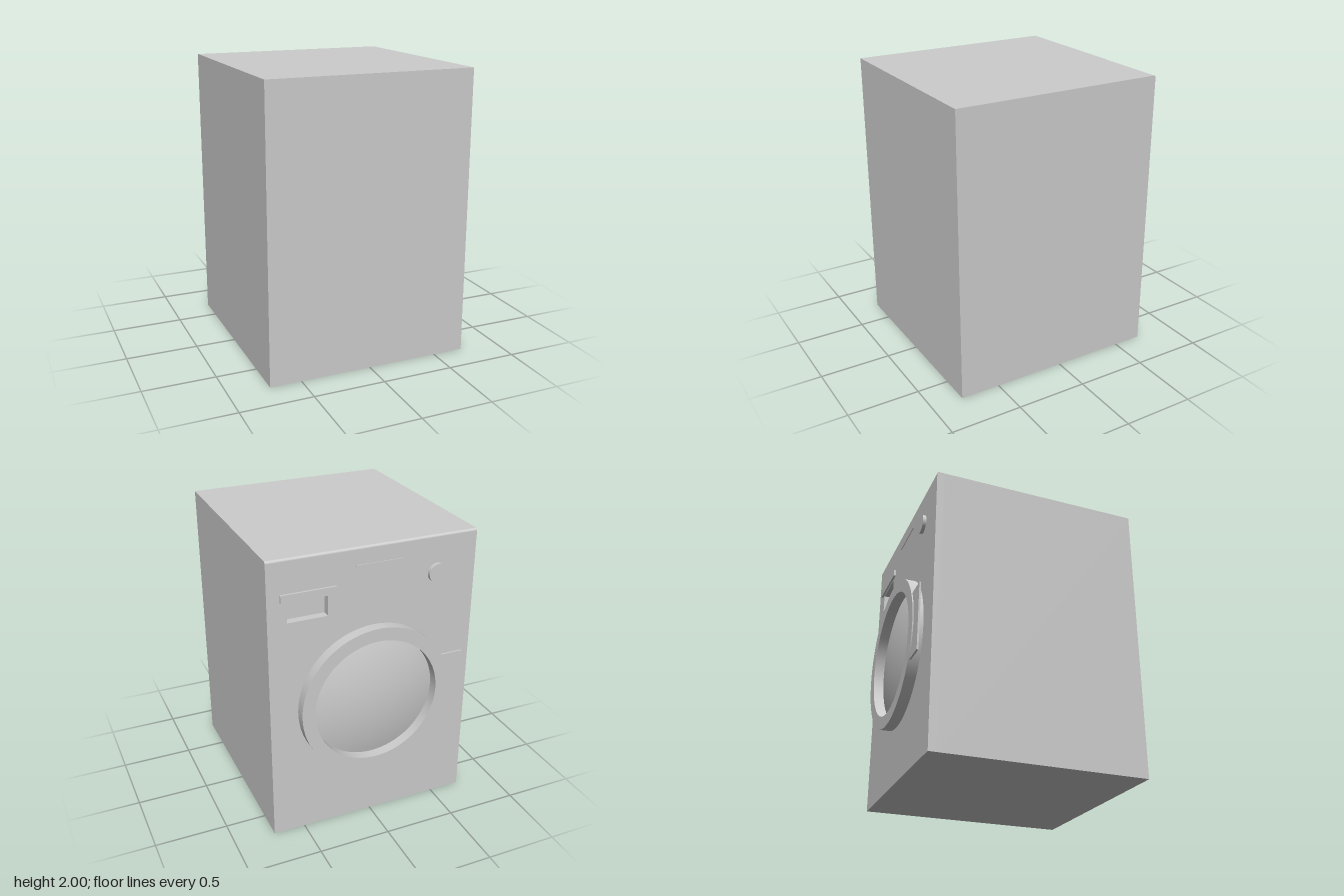
import * as THREE from 'three';
import { mergeGeometries } from 'three/addons/utils/BufferGeometryUtils.js';

const FACE = -0.705; // plane of the door panel, which looks toward -z

export function createModel() {
  const model = new THREE.Group();
  model.name = 'washingMachine';
  const grey = new THREE.MeshStandardMaterial({ color: 0xcccccc });
  grey.name = 'light grey';

  const add = (name, geometry, x = 0, y = 0, z = 0, parent = model) => {
    const mesh = new THREE.Mesh(geometry, grey);
    mesh.name = name;
    mesh.position.set(x, y, z);
    parent.add(mesh);
    return mesh;
  };
  // Box given by its limits on each axis
  const box = (name, [x0, x1], [y0, y1], [z0, z1], parent) =>
    add(name, new THREE.BoxGeometry(x1 - x0, y1 - y0, z1 - z0),
      (x0 + x1) / 2, (y0 + y1) / 2, (z0 + z1) / 2, parent);
  // Surface turned about z, bulging toward -z; each run of points is smooth
  const turned = (...runs) => mergeGeometries(runs.map((run) =>
    new THREE.LatheGeometry(run.map(([r, h]) => new THREE.Vector2(r, h)), 72))).rotateX(-Math.PI / 2);

  // Cabinet behind the door panel
  const recessDepth = 0.055;
  box('cabinet', [-0.72, 0.72], [0, 1.98], [FACE + recessDepth, 0.78]);

  // Door panel with the detergent drawer recess cut out
  const panel = new THREE.Shape();
  panel.moveTo(-0.72, 0).lineTo(0.72, 0).lineTo(0.72, 1.98).lineTo(-0.72, 1.98).closePath();
  const recess = new THREE.Path();
  recess.moveTo(0.32, 1.58).lineTo(0.32, 1.715).lineTo(0.59, 1.715).lineTo(0.59, 1.58).closePath();
  panel.holes.push(recess);
  add('doorPanel', new THREE.ExtrudeGeometry(panel, { depth: recessDepth, bevelEnabled: false }), 0, 0, FACE);

  // Lid with a rounded edge above the door panel
  const r = 0.016;
  const lid = new THREE.Shape();
  lid.moveTo(FACE, 1.98).lineTo(0.78, 1.98).lineTo(0.78, 2).lineTo(FACE + r, 2);
  lid.absarc(FACE + r, 2 - r, r, Math.PI / 2, Math.PI, false);
  lid.closePath();
  add('lid', new THREE.ExtrudeGeometry(lid, { depth: 1.44, bevelEnabled: false, curveSegments: 6 }), 0.72)
    .rotation.y = -Math.PI / 2;

  // Round door: rim, bulging glass and pull plate
  const door = new THREE.Group();
  door.name = 'door';
  model.add(door);
  const rim = turned(
    [[0.53, 0], [0.53, 0.075]],
    [[0.53, 0.075], [0.44, 0.075]],
    [[0.44, 0.075], [0.44, 0]]);
  add('doorRim', rim, 0, 0.93, FACE, door);
  const dome = [];
  for (let i = 0; i <= 12; i++) {
    const t = 1 - i / 12;
    dome.push([0.44 * t, 0.002 + 0.06 * (1 - t * t)]);
  }
  add('doorGlass', turned(dome), 0, 0.93, FACE, door);
  box('doorHandle', [-0.63, -0.47], [0.685, 1.17], [-0.772, -0.76], door);

  // Controls
  add('knob', turned([[0.065, 0], [0.065, 0.024]], [[0.065, 0.024], [0, 0.024]]), -0.44, 1.745, FACE);
  box('drawerHandle', [0.265, 0.635], [1.725, 1.775], [-0.72, FACE]);
  box('displayStrip', [-0.195, 0.13], [1.876, 1.884], [-0.71, FACE]);

  return model;
}
